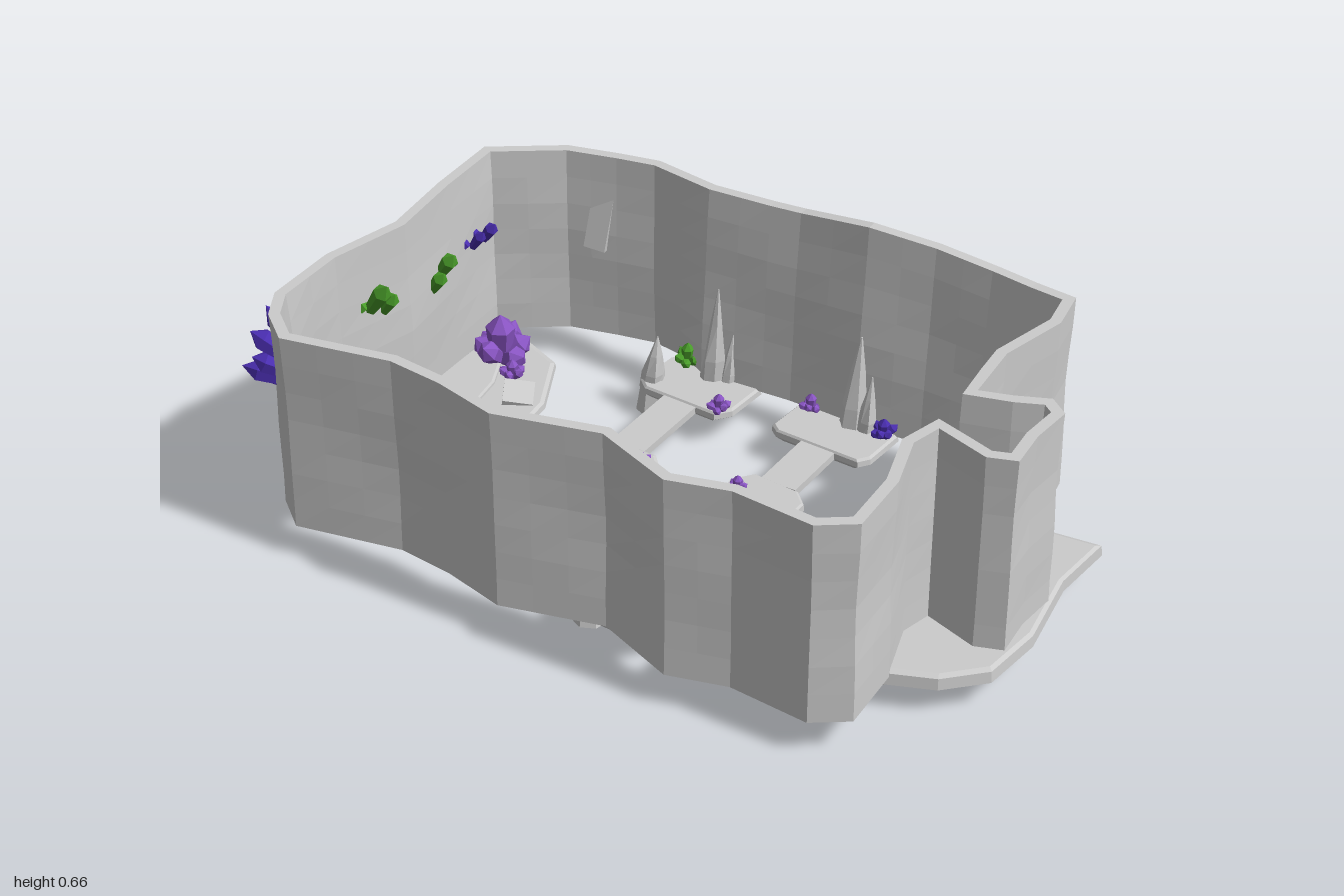
import * as THREE from 'three';

const grey = new THREE.MeshStandardMaterial({ color: 0xcccccc, flatShading: true, side: THREE.DoubleSide });
const tint = (color) => new THREE.MeshStandardMaterial({ color, flatShading: true });
const purple = tint(0x8a55c4), blue = tint(0x4a2eb0), green = tint(0x4a9e2a), gold = tint(0xe2d79a);

let seed = 7;
const rnd = () => (seed = (seed * 16807) % 2147483647) / 2147483647;

function addMesh(parent, name, geometry, material = grey) {
  const mesh = new THREE.Mesh(geometry, material);
  mesh.name = name;
  parent.add(mesh);
  return mesh;
}

// Skins rings of [x, y, z]; wrap joins the last ring to the first, otherwise both ends are capped
function loft(rings, wrap = false) {
  const n = rings[0].length, m = rings.length, pos = rings.flat(2), idx = [];
  for (let j = 0; j < (wrap ? m : m - 1); j++) {
    for (let i = 0; i < n; i++) {
      const a = j * n + i, b = j * n + (i + 1) % n;
      const c = ((j + 1) % m) * n + i, d = ((j + 1) % m) * n + (i + 1) % n;
      idx.push(a, c, b, b, c, d);
    }
  }
  if (!wrap) {
    [0, m - 1].forEach((j) => {
      const k = pos.length / 3;
      for (let q = 0; q < 3; q++) pos.push(rings[j].reduce((s, p) => s + p[q], 0) / n);
      for (let i = 0; i < n; i++) {
        const a = j * n + i, b = j * n + (i + 1) % n;
        if (j === 0) idx.push(k, a, b); else idx.push(k, b, a);
      }
    });
  }
  const g = new THREE.BufferGeometry();
  g.setAttribute('position', new THREE.Float32BufferAttribute(pos, 3));
  g.setIndex(idx);
  g.computeVertexNormals();
  return g;
}

// Cavern wall footprint (x, z)
const footprint = [
  [-0.88, -0.41], [-0.70, -0.535], [-0.56, -0.57], [-0.45, -0.592], [-0.26, -0.56], [0, -0.575], [0.2, -0.565],
  [0.38, -0.582], [0.54, -0.577], [0.76, -0.552], [0.78, -0.43], [0.735, -0.24], [0.75, -0.065],
  [0.83, -0.09], [0.91, -0.125], [0.96, -0.085], [0.95, 0.03], [0.96, 0.14], [0.89, 0.165], [0.75, 0.12],
  [0.73, 0.2], [0.775, 0.35], [0.785, 0.53], [0.7, 0.59], [0.49, 0.575], [0.34, 0.618], [0.13, 0.54],
  [-0.13, 0.61], [-0.3, 0.57], [-0.45, 0.555], [-0.73, 0.615], [-0.82, 0.545], [-0.87, 0.46], [-0.88, 0.25],
  [-0.835, 0.03], [-0.865, -0.19],
];

function wallGeometry() {
  const pts = [];
  footprint.forEach((p, i) => {
    const q = footprint[(i + 1) % footprint.length];
    const steps = Math.max(1, Math.round(Math.hypot(q[0] - p[0], q[1] - p[1]) / 0.09));
    for (let s = 0; s < steps; s++) pts.push([p[0] + (q[0] - p[0]) * s / steps, p[1] + (q[1] - p[1]) * s / steps]);
  });
  const n = pts.length, rows = 7;
  const unit = (a, b) => new THREE.Vector2(b[1] - a[1], a[0] - b[0]).normalize();
  const normals = pts.map((p, i) => {
    const u = unit(pts[(i + n - 1) % n], p), v = unit(p, pts[(i + 1) % n]);
    const w = u.clone().add(v).normalize();
    return w.multiplyScalar(Math.min(1.4, 1 / w.dot(u)));
  });
  const ring = (f, inner) => pts.map(([x, z], i) => {
    const wave = -0.004 * Math.sin(Math.PI * f) * (1 + Math.sin(x * 9 + f * 7) * Math.cos(z * 7));
    const flare = z < -0.45 && x > -0.3 ? 0.034 : z > 0.45 ? 0.02 : 0;
    const off = wave - (inner ? 0.028 + flare * (1 - f) : 0);
    // Low crest along the back
    const crest = z < -0.5 ? 0.028 * Math.max(0, 1 - Math.abs(x - 0.2) / (x < 0.2 ? 0.22 : 0.4)) : 0;
    return [x + normals[i].x * off, 0.095 + (0.54 + crest) * f, z + normals[i].y * off];
  });
  const rings = [];
  for (let r = 0; r <= rows; r++) rings.push(ring(r / rows, false));
  for (let r = rows; r >= 0; r--) rings.push(ring(r / rows, true));
  return loft(rings, true);
}

// Rock slab with a tapered underside
function slabGeometry(outline, top, depth) {
  const cx = outline.reduce((s, p) => s + p[0], 0) / outline.length;
  const cz = outline.reduce((s, p) => s + p[1], 0) / outline.length;
  const ring = (k, y) => outline.map(([x, z]) => [cx + (x - cx) * k, y, cz + (z - cz) * k]);
  return loft([ring(0.87, top - depth), ring(1, top - depth * 0.6), ring(0.99, top - 0.006), ring(0.95, top)]);
}
const chamfered = (x0, x1, z0, z1, c) => [
  [x0 + c, z0], [x1 - c * 0.8, z0 + 0.01], [x1, z0 + c], [x1 - 0.008, z1 - c], [x1 - c, z1],
  [x0 + c * 0.8, z1 - 0.01], [x0, z1 - c], [x0 + 0.01, z0 + c],
];

// Pointed rock that tapers up from its foot
function spike(parent, x, z, base, top, r) {
  const rings = [[0, 1], [0.3, 0.85], [0.65, 0.5], [1, 0.05]].map(([f, k], j) =>
    Array.from({ length: 7 }, (_, i) => {
      const a = i / 7 * Math.PI * 2, w = r * k * (0.85 + 0.3 * rnd());
      return [x + Math.cos(a) * w + 0.006 * j, base + (top - base) * f, z + Math.sin(a) * w];
    }));
  addMesh(parent, 'rockSpike', loft(rings));
}

function crystal(parent, material, at, dir, length, r) {
  const profile = [[0, 0], [r * 0.7, 0], [r, length * 0.72], [0, length]].map((p) => new THREE.Vector2(...p));
  const m = addMesh(parent, 'crystal', new THREE.LatheGeometry(profile, 6), material);
  m.position.set(...at);
  m.quaternion.setFromUnitVectors(new THREE.Vector3(0, 1, 0), new THREE.Vector3(...dir).normalize());
}

function cluster(parent, material, x, y, z, size, count = 6) {
  const g = new THREE.Group();
  g.name = 'crystalCluster';
  crystal(g, material, [x, y, z], [0.1, 1, 0.1], size * 1.35, size * 0.36);
  for (let i = 0; i < count; i++) {
    const a = i / count * Math.PI * 2 + rnd() * 0.5;
    crystal(g, material, [x, y, z], [Math.cos(a), 0.4 + rnd() * 0.7, Math.sin(a)], size * (0.75 + rnd() * 0.4), size * 0.28);
  }
  parent.add(g);
}

export function createModel() {
  const model = new THREE.Group();
  model.name = 'crystalCavern';
  addMesh(model, 'cavernWall', wallGeometry());

  // Platforms
  const slabs = {
    leftLedge: [[[-0.84, -0.41], [-0.74, -0.39], [-0.62, -0.34], [-0.53, -0.16], [-0.5, 0.08], [-0.55, 0.32],
      [-0.66, 0.46], [-0.8, 0.51], [-0.84, 0.4], [-0.85, 0.2], [-0.82, 0.03], [-0.84, -0.2]], 0.1, 0.035],
    upperLedge: [[[-0.83, -0.35], [-0.76, -0.31], [-0.69, -0.16], [-0.655, 0.05], [-0.69, 0.27], [-0.78, 0.42],
      [-0.84, 0.36], [-0.82, 0.03]], 0.112, 0.025],
    middlePlatform: [chamfered(-0.385, -0.09, -0.125, 0.4, 0.08), 0.1, 0.04],
    backPlatform: [chamfered(-0.385, -0.09, -0.56, -0.35, 0.04), 0.1, 0.035],
    centrePlatform: [chamfered(0.05, 0.27, -0.18, 0.2, 0.05), 0.1, 0.04],
    backSidePlatform: [chamfered(0.02, 0.32, -0.55, -0.36, 0.03), 0.1, 0.035],
    frontPlatform: [chamfered(-0.03, 0.265, 0.335, 0.53, 0.06), 0.1, 0.035],
    entrancePlatform: [[[0.62, -0.35], [0.78, -0.34], [0.97, -0.36], [0.955, -0.18], [0.99, 0.05], [0.97, 0.22],
      [0.88, 0.31], [0.72, 0.375], [0.6, 0.355], [0.53, 0.24], [0.47, 0.08], [0.5, -0.14], [0.55, -0.28]], 0.11, 0.06],
  };
  for (const [name, [outline, top, depth]] of Object.entries(slabs)) addMesh(model, name, slabGeometry(outline, top, depth));

  // Flat bridges: x0, x1, z0, z1
  [[-0.29, -0.19, -0.37, -0.11], [-0.11, 0.06, 0.04, 0.14], [0.12, 0.22, -0.38, -0.17], [0.09, 0.19, 0.19, 0.35]]
    .forEach(([x0, x1, z0, z1]) => {
      addMesh(model, 'bridge', new THREE.BoxGeometry(x1 - x0, 0.02, z1 - z0)).position.set((x0 + x1) / 2, 0.085, (z0 + z1) / 2);
    });

  // Plank bridges
  [[-0.51, -0.37, 0.08, 0.145], [0.26, 0.51, 0.01, 0.135]].forEach(([x0, x1, z, width]) => {
    const count = Math.round((x1 - x0) / 0.014);
    for (let i = 0; i < count; i++) {
      const plank = addMesh(model, 'bridgePlank', new THREE.BoxGeometry(0.016, 0.012, width + 0.015 * rnd()));
      plank.position.set(x0 + (i + 0.5) * (x1 - x0) / count, 0.09 - 0.008 * Math.sin(Math.PI * (i + 0.5) / count), z);
      plank.rotation.z = 0.6;
    }
  });

  // Pillar feet and pointed rocks
  [[-0.36, 0.4], [-0.36, -0.415], [0.01, 0.43]].forEach(([x, z]) => {
    const foot = addMesh(model, 'pillarFoot', new THREE.CylinderGeometry(0.03, 0.046, 0.1, 7));
    foot.position.set(x, 0.05, z);
  });
  [[-0.36, 0.38, 0.16, 0.035], [-0.36, -0.41, 0.23, 0.035], [0.01, 0.43, 0.16, 0.035], [-0.23, -0.5, 0.37, 0.035],
    [-0.19, -0.51, 0.24, 0.025], [0.19, -0.51, 0.36, 0.04], [0.23, -0.5, 0.26, 0.03],
    [0.68, -0.29, 0.33, 0.045], [0.65, 0.26, 0.3, 0.05]]
    .forEach(([x, z, top, r]) => spike(model, x, z, 0.07, top, r));
  // Stubs below the entrance
  [[0.66, 0.27], [0.72, 0.29]].forEach(([x, z]) => {
    const stub = addMesh(model, 'entranceStub', new THREE.CylinderGeometry(0.04, 0.03, 0.05, 7));
    stub.position.set(x, 0.055, z);
  });

  // Folded rock plates over the back corner
  [[-0.665, -0.545, 0.58], [-0.6, -0.562, 0.62], [-0.535, -0.575, 0.6]].forEach(([x, z, top], k) => {
    const rings = [0, 0.22, 0.45, 0.72, 1].map((f, j) => {
      const y = 0.1 + (top - 0.1) * f, s = ((j + k) % 2 ? 0.014 : -0.014);
      const bulge = 0.012 + 0.034 * Math.sin(Math.PI * f);
      return [[-0.042, -bulge * 0.6], [0.012, -bulge], [0.038, 0.015], [-0.036, 0.018]]
        .map(([dx, dz]) => [x + dx + s, y, z + dz]);
    });
    addMesh(model, 'foldedRock', loft(rings));
  });

  // Rock panel leaning on the inner back wall
  const panel = addMesh(model, 'rockPanel', new THREE.BoxGeometry(0.06, 0.16, 0.02));
  panel.position.set(-0.6, 0.44, -0.53);
  panel.rotation.set(-0.15, 0.2, -0.1);

  // Stone block on the ledge
  const block = addMesh(model, 'stoneBlock', new THREE.BoxGeometry(0.08, 0.02, 0.08));
  block.position.set(-0.6, 0.11, -0.14);
  block.rotation.set(0.3, 0.5, -0.3);

  // Floor crystals: material, x, z, size
  [[purple, -0.75, -0.27, 0.11], [purple, -0.75, 0.12, 0.095], [purple, -0.74, 0.36, 0.11], [purple, -0.67, -0.21, 0.045],
    [blue, -0.77, 0.46, 0.05], [green, -0.73, 0.25, 0.045], [green, -0.32, -0.52, 0.05], [purple, -0.13, -0.37, 0.04],
    [purple, 0.07, -0.5, 0.04], [blue, 0.29, -0.49, 0.045], [purple, -0.16, -0.05, 0.035], [purple, 0.1, -0.09, 0.035],
    [purple, 0.61, -0.25, 0.06], [blue, 0.62, 0.29, 0.055], [green, -0.3, 0.34, 0.04], [purple, 0.03, 0.47, 0.04],
    [blue, 0.23, 0.48, 0.04]].forEach(([m, x, z, s]) => cluster(model, m, x, 0.1, z, s));

  // Crystal bundle growing out of the side wall
  for (let i = 0; i < 9; i++) {
    const a = i / 9 * Math.PI * 2, r = 0.045 + 0.015 * (i % 2);
    crystal(model, blue, [-0.875, 0.375 + Math.sin(a) * r, 0.36 + Math.cos(a) * r],
      [-0.8, 0.5 + 0.35 * Math.sin(a), 0.6 * Math.cos(a)], 0.115 + 0.015 * (i % 3), 0.03);
  }
  // Paired crystals on both faces of the side wall: material, z, y, length, radius
  [[green, 0.17, 0.45, 0.13, 0.024], [green, 0.12, 0.42, 0.09, 0.02], [green, -0.08, 0.38, 0.09, 0.02],
    [green, -0.12, 0.41, 0.1, 0.022], [blue, -0.26, 0.42, 0.08, 0.016], [blue, -0.31, 0.42, 0.08, 0.018]]
    .forEach(([m, z, y, len, r]) => {
      crystal(model, m, [-0.835, y, z], [-0.7, 0.8, 0.25], len, r);
      crystal(model, m, [-0.825, y, z - 0.01], [0.6, 0.8, 0.2], len, r);
    });

  // Ring on the outer side wall
  const ring = addMesh(model, 'wallRing', new THREE.TorusGeometry(0.034, 0.008, 6, 16), gold);
  ring.position.set(-0.868, 0.2, -0.12);
  ring.rotation.y = Math.PI / 2 + 0.1;

  return model;
}
